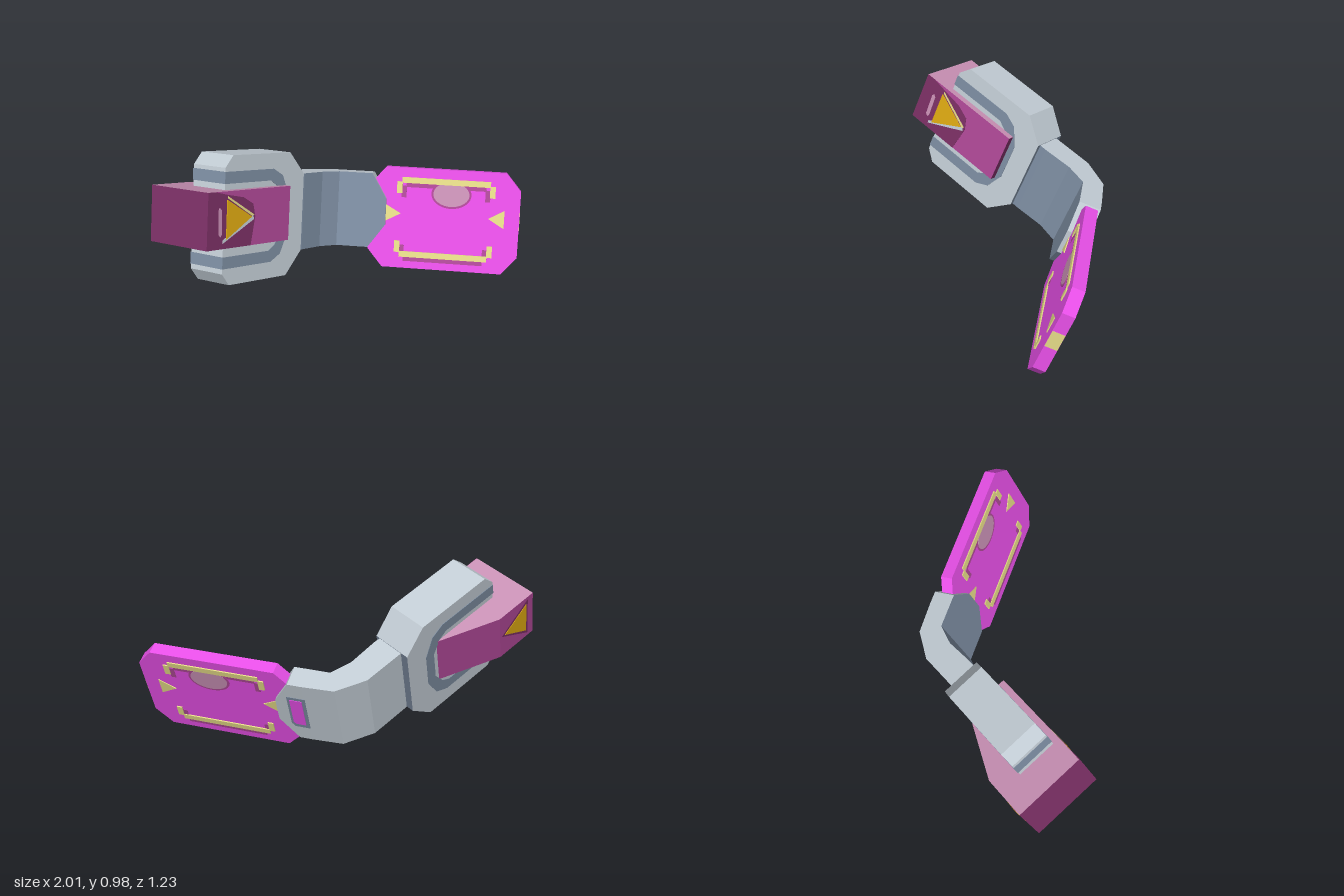
import * as THREE from 'three';

const mat = (name, color) => {
  const m = new THREE.MeshStandardMaterial({ color });
  m.name = name;
  return m;
};

export function createModel() {
  const lightGray = mat('light gray', 0xc2ccd4);
  const slate = mat('slate', 0x7b8b9f);
  const magenta = mat('magenta', 0xea50ea);
  const mauve = mat('mauve', 0xae4896);
  const plum = mat('plum', 0x7a2f64);
  const pink = mat('pink', 0xc890b4);
  const paleYellow = mat('pale yellow', 0xe4da86);
  const gold = mat('gold', 0xdca812);

  const shapeOf = pts => new THREE.Shape(pts.map(p => new THREE.Vector2(p[0], p[1])));
  const extrude = (pts, depth) => new THREE.ExtrudeGeometry(shapeOf(pts), { depth, bevelEnabled: false });
  const add = (parent, name, geo, material) => {
    const mesh = new THREE.Mesh(geo, material);
    mesh.name = name;
    parent.add(mesh);
  };
  // Outline extruded between two depths
  const slab = (parent, name, pts, z0, z1, material) =>
    add(parent, name, extrude(pts, z1 - z0).translate(0, 0, z0), material);
  // Picks a material index for every triangle from its normal
  const paint = (geo, pick) => {
    geo.clearGroups();
    const n = geo.attributes.normal;
    for (let i = 0; i < n.count; i += 3) {
      geo.addGroup(i, 3, pick(n.getX(i), n.getY(i), n.getZ(i)));
    }
    return geo;
  };
  // Flat outline (x, z) raised from y0 to y1
  const raise = (pts, y0, y1) =>
    extrude(pts.map(([x, z]) => [x, -z]), y1 - y0).rotateX(-Math.PI / 2).translate(0, y0, 0);

  const model = new THREE.Group();
  model.name = 'model';
  const body = new THREE.Group();
  body.name = 'tiltedBody';
  body.rotation.x = -THREE.MathUtils.degToRad(20.5);
  model.add(body);

  // Octagonal panel
  const cx = 0.55, cy = 0.443, back = -0.36, front = -0.288;
  slab(body, 'panel', [
    [-0.45, -0.2], [-0.36, -0.305], [0.36, -0.305], [0.45, -0.2],
    [0.45, 0.2], [0.36, 0.305], [-0.36, 0.305], [-0.45, 0.2],
  ].map(([x, y]) => [cx + x, cy + y]), back, front, magenta);

  // Panel markings, showing on both faces
  const mark = (name, pts, lift, material) => slab(body, name, pts, back - lift, front + lift, material);
  const bracket = (s, dx, dy) => [
    [-0.295, 0.145], [-0.295, 0.215], [-0.265, 0.215], [-0.265, 0.243], [0.265, 0.243], [0.265, 0.215],
    [0.295, 0.215], [0.295, 0.145], [0.262, 0.145], [0.262, 0.208], [-0.262, 0.208], [-0.262, 0.145],
  ].map(([x, y]) => [cx + 0.005 + x * dx, cy + 0.006 + s * y + dy]);
  for (const s of [1, -1]) {
    mark('bracketShade', bracket(s, 0.9, -0.025), 0.002, mauve);
    mark('bracket', bracket(s, 1, 0), 0.007, paleYellow);
  }
  const disc = (rx, ry) => Array.from({ length: 48 }, (_, i) => {
    const a = i / 48 * Math.PI * 2;
    return [0.588 + rx * Math.cos(a), Math.min(0.602 + ry * Math.sin(a), 0.657)];
  });
  mark('discRim', disc(0.12, 0.086), 0.0035, mauve);
  mark('disc', disc(0.108, 0.074), 0.005, pink);
  mark('leftArrow', [[0.91, 0.415], [0.91, 0.525], [0.815, 0.47]], 0.005, paleYellow);
  mark('rightArrow', [[0.19, 0.415], [0.19, 0.525], [0.29, 0.47]], 0.005, paleYellow);
  slab(body, 'edgeMark', [[0.995, 0.405], [1.0015, 0.405], [1.0015, 0.515], [0.995, 0.515]],
    back + 0.001, front - 0.001, paleYellow);

  // Bent link, slate on its front and underside
  const linkPaint = (x, y, z) => (y < -0.5 || (y < 0.5 && z > 0.3) ? 1 : 0);
  add(body, 'link', paint(raise([
    [0.03, -0.26], [0.03, -0.387], [-0.15, -0.38], [-0.3, -0.27], [-0.43, -0.04],
    [-0.44, 0.02], [-0.3, 0.06], [-0.26, -0.005], [-0.18, -0.165], [-0.09, -0.26],
  ], 0.255, 0.705), linkPaint), [lightGray, slate]);

  // Clasp gripping the panel, with a slot behind
  add(body, 'clasp', paint(extrude([
    [0.03, 0.255], [0.1, 0.255], [0.2, 0.396], [0.2, 0.556], [0.11, 0.705], [0.03, 0.705],
  ], 0.127).translate(0, 0, -0.387), linkPaint), [lightGray, slate]);
  slab(body, 'slotFrame', [[0.025, 0.355], [0.11, 0.355], [0.13, 0.38], [0.13, 0.6], [0.025, 0.6]],
    -0.389, -0.38, slate);
  slab(body, 'slot', [[0.045, 0.38], [0.1, 0.38], [0.115, 0.395], [0.115, 0.58], [0.045, 0.58]],
    -0.392, -0.38, magenta);

  // Head turned sixty degrees: points are (distance forward, height)
  const head = new THREE.Group();
  head.name = 'head';
  head.position.set(-0.26, 0, 0.04);
  head.rotation.y = Math.PI / 3;
  body.add(head);
  const fwd = pts => pts.map(([s, v]) => [-s, v]);
  const plate = (name, pts, z0, z1, material) => slab(head, name, fwd(pts), z0, z1, material);

  // Housing, slate on its underside and rear end
  add(head, 'housing', paint(extrude(fwd([
    [0, 0.258], [0, 0.708], [0.13, 0.836], [0.606, 0.836],
    [0.664, 0.77], [0.664, 0.19], [0.606, 0.124], [0.13, 0.124],
  ]), 0.235).translate(0, 0, -0.235),
  (x, y) => (x > 0.9 || (y < -0.3 && x > -0.5) ? 1 : 0)), [lightGray, slate]);

  // Band around both sides and the front end of the housing
  const mid = 0.483;
  const half = [
    [0.667, 0.2], [0.667, 0.265], [0.27, 0.265], [0.19, 0.225], [0.133, 0.11],
    [0.133, 0], [0.19, 0], [0.19, 0.09], [0.24, 0.17], [0.29, 0.2],
  ];
  for (const s of [1, -1]) {
    plate('housingBand', half.map(([f, v]) => [f, mid + s * v]), -0.238, 0.003, slate);
  }

  // Block through the housing, tapered on its far side
  add(head, 'block', paint(raise(fwd([
    [0.168, 0.042], [0.835, 0.042], [0.835, -0.378], [0.565, -0.378], [0.168, -0.215],
  ]), 0.34, 0.65), (x, y, z) => (y > 0.5 ? 1 : Math.abs(z) > 0.5 ? 2 : 0)), [plum, pink, mauve]);

  // Painted details on the near face of the block
  plate('darkPatch', [
    [0.835, 0.34], [0.835, 0.65], [0.78, 0.65], [0.68, 0.63], [0.56, 0.61],
    [0.48, 0.57], [0.46, 0.5], [0.475, 0.42], [0.49, 0.34],
  ], 0.04, 0.044, plum);
  plate('stripe', [[0.725, 0.42], [0.735, 0.405], [0.75, 0.42], [0.755, 0.55], [0.745, 0.565], [0.73, 0.55]],
    0.04, 0.046, pink);
  plate('lowerTrim', [[0.715, 0.37], [0.715, 0.388], [0.48, 0.507], [0.47, 0.485]], 0.04, 0.046, lightGray);
  plate('upperTrim', [[0.685, 0.612], [0.685, 0.624], [0.47, 0.51], [0.482, 0.5]], 0.04, 0.046, paleYellow);
  plate('nearTriangle', [[0.69, 0.39], [0.69, 0.605], [0.49, 0.5]], 0.04, 0.048, gold);

  // Matching details on the far face
  plate('farTrim', [[0.79, 0.365], [0.79, 0.635], [0.575, 0.5]], -0.381, -0.375, plum);
  plate('farTriangle', [[0.775, 0.395], [0.775, 0.605], [0.6, 0.5]], -0.384, -0.375, gold);

  return model;
}
